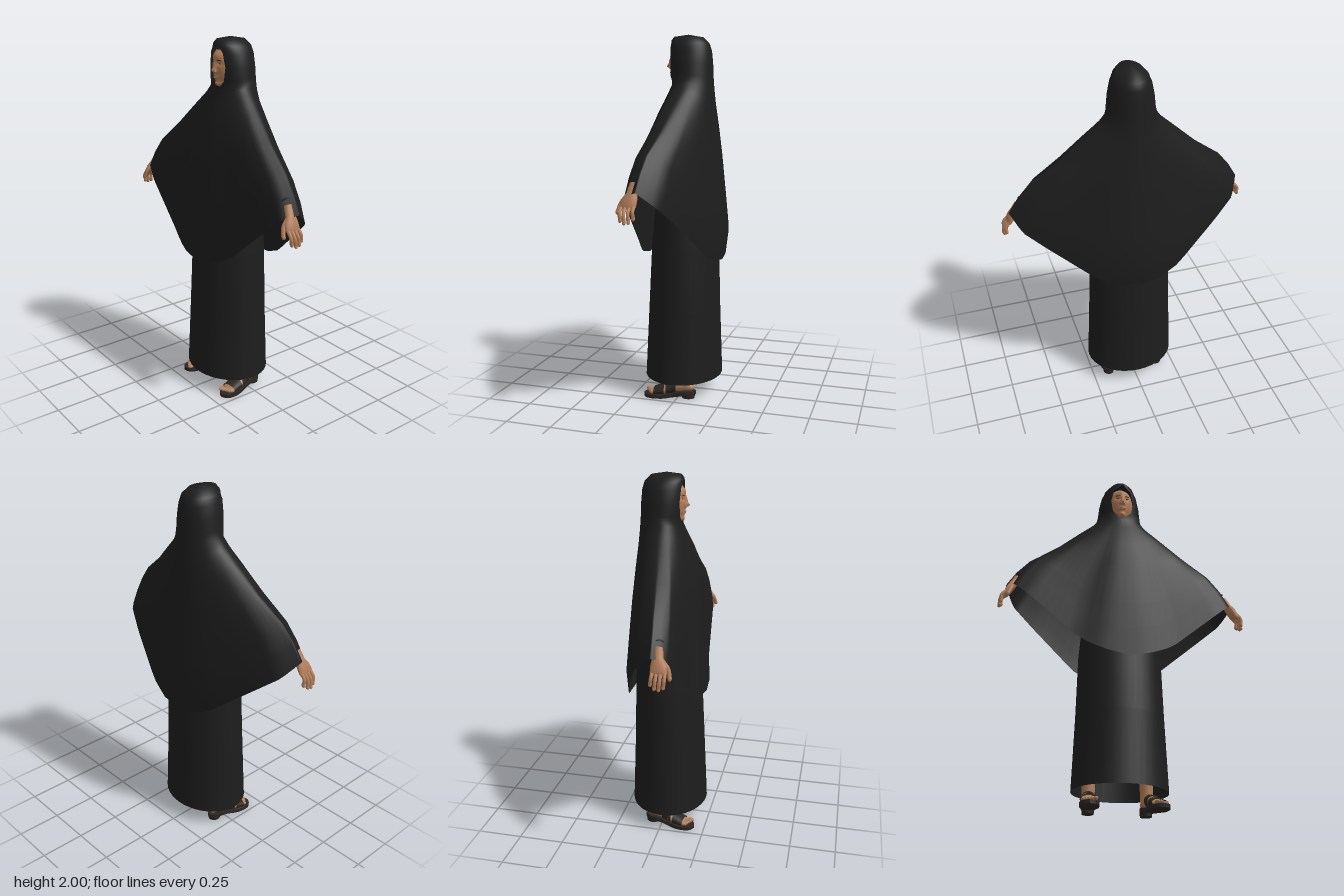
import * as THREE from 'three';
import { mergeVertices } from 'three/addons/utils/BufferGeometryUtils.js';

const mat = (name, color, side = THREE.FrontSide) => {
  const m = new THREE.MeshStandardMaterial({ color, side });
  m.name = name;
  return m;
};

// Piecewise linear lookup in a list of [input, output]
const lookup = (table, s) => {
  let i = 1;
  while (i < table.length - 1 && s > table[i][0]) i++;
  const [a, b] = [table[i - 1], table[i]];
  return a[1] + (b[1] - a[1]) * (s - a[0]) / (b[0] - a[0]);
};
// From centre (0) to tip (1): rise of the hem, and depth of the cloth, front and back
const frontRise = [[0, 0], [0.2, 0.06], [0.385, 0.2], [0.91, 0.91], [1, 1]];
const backRise = [[0, 0], [0.18, 0.03], [0.35, 0.14], [0.92, 0.82], [1, 1]];
const frontDepth = [[0, 1], [0.2, 0.97], [0.41, 0.76], [0.82, 0.6], [0.94, 0.45], [1, 0]];
const backDepth = [[0, 1], [0.15, 0.98], [0.38, 0.85], [0.74, 0.54], [0.92, 0.34], [1, 0]];

// Surface through rings listed from top to bottom. Each ring:
// [side x, side y, side z, front y, front z, back y, back z, half gap at the front]
function ringSurface(rings, segs = 40, draped = false) {
  const pos = [], idx = [];
  rings.forEach(([rx, ry, rz, fy, fz, by, bz, gap = 0], i) => {
    const start = gap ? Math.asin(gap / rx) : 0;
    const drape = draped ? THREE.MathUtils.smoothstep(rx, 0.14, 0.6) : 0;
    for (let j = 0; j <= segs; j++) {
      const a = start + (2 * Math.PI - 2 * start) * j / segs;
      const c = Math.cos(a), s = Math.min(1, Math.abs(Math.sin(a))), front = c > 0;
      const y0 = front ? fy : by, z1 = front ? fz : bz;
      const depth = THREE.MathUtils.lerp(Math.abs(c), lookup(front ? frontDepth : backDepth, s), drape);
      pos.push(rx * Math.sin(a), y0 + (ry - y0) * lookup(front ? frontRise : backRise, s),
        rz + (z1 - rz) * depth);
      if (i && j) {
        const d = i * (segs + 1) + j, b = d - segs - 1;
        idx.push(b - 1, d - 1, b, b, d - 1, d);
      }
    }
  });
  let g = new THREE.BufferGeometry();
  g.setAttribute('position', new THREE.Float32BufferAttribute(pos, 3));
  g.setIndex(idx);
  g = mergeVertices(g, 1e-5);
  g.computeVertexNormals();
  return g;
}
// Level oval ring: height, half width, centre z, half depth
const oval = (y, rx, cz, rz) => [rx, y, cz, y, cz + rz, y, cz - rz];

export function createModel() {
  const black = mat('blackCloth', 0x1d1d1d, THREE.DoubleSide);
  const skin = mat('skin', 0xb07d58);
  const leather = mat('sandalLeather', 0x2a2623, THREE.DoubleSide);
  const lipTone = mat('lips', 0x9a6650);
  const dark = mat('browsAndIris', 0x2a1a12);
  const white = mat('eyeWhite', 0xd8d0c8);

  const model = new THREE.Group();
  model.name = 'robedFigure';
  const add = (parent, name, geo, m, x = 0, y = 0, z = 0) => {
    const mesh = new THREE.Mesh(geo, m);
    mesh.name = name;
    mesh.position.set(x, y, z);
    parent.add(mesh);
    return mesh;
  };
  const ball = (rx, ry, rz) => new THREE.SphereGeometry(1, 16, 12).scale(rx, ry, rz);

  // Hood and cape in one cloth, open around the face
  add(model, 'hoodedCape', ringSurface([
    [0.001, 2.0, -0.01, 2.0, -0.009, 2.0, -0.011],
    [0.06, 1.987, -0.01, 1.99, 0.068, 1.985, -0.095],
    [0.09, 1.955, -0.02, 1.972, 0.083, 1.95, -0.128],
    [0.106, 1.915, -0.02, 1.93, 0.09, 1.91, -0.14, 0.05],
    [0.12, 1.85, -0.02, 1.85, 0.09, 1.84, -0.146, 0.066],
    [0.127, 1.785, -0.02, 1.775, 0.085, 1.76, -0.149, 0.056],
    [0.137, 1.74, -0.02, 1.728, 0.075, 1.7, -0.153],
    [0.165, 1.7, -0.015, 1.65, 0.105, 1.62, -0.16],
    [0.26, 1.612, 0.0, 1.52, 0.15, 1.48, -0.174],
    [0.38, 1.5, 0.02, 1.35, 0.182, 1.3, -0.193],
    [0.53, 1.385, 0.045, 1.1, 0.2, 1.08, -0.212],
    [0.6, 1.3, 0.055, 0.95, 0.21, 0.9, -0.226],
    [0.655, 1.21, 0.06, 0.79, 0.22, 0.77, -0.207],
  ], 72, true), black);

  // Long gown, hollow at the hem
  add(model, 'gown', ringSurface([
    oval(1.62, 0.06, -0.02, 0.05),
    oval(1.55, 0.15, -0.01, 0.1),
    oval(1.3, 0.19, 0, 0.15),
    oval(0.85, 0.23, 0.005, 0.185),
    oval(0.5, 0.24, 0.01, 0.198),
    oval(0.1, 0.256, 0.013, 0.215),
  ], 40), black);

  // Head, with the features raised from an oval
  const head = new THREE.Group();
  head.name = 'head';
  head.position.y = 1.85;
  model.add(head);
  const bumps = [ // x, y, spread x, spread y, height
    [0, 0.06, 0.05, 0.025, 0.012], [0, -0.018, 0.011, 0.012, 0.022],
    [0, 0.008, 0.008, 0.022, 0.012], [0, -0.055, 0.024, 0.016, 0.01],
    [0, -0.095, 0.03, 0.02, 0.03],
    [0.027, 0.017, 0.013, 0.009, -0.008], [-0.027, 0.017, 0.013, 0.009, -0.008],
  ];
  const faceZ = (x, y) => {
    let z = 0.09 * Math.sqrt(Math.max(0, 1 - (x / 0.078) ** 2 - (y / 0.118) ** 2));
    for (const [bx, by, sx, sy, h] of bumps)
      z += h * Math.exp(-(((x - bx) / sx) ** 2) - ((y - by) / sy) ** 2);
    return z;
  };
  const face = new THREE.SphereGeometry(1, 72, 56).scale(0.078, 0.118, 0.09);
  const p = face.attributes.position;
  for (let i = 0; i < p.count; i++)
    if (p.getZ(i) > 0.005) p.setZ(i, faceZ(p.getX(i), p.getY(i)));
  face.computeVertexNormals();
  add(head, 'face', face, skin);
  add(head, 'neck', new THREE.CylinderGeometry(0.045, 0.055, 0.2, 20), skin, 0, -0.15, -0.015);
  add(head, 'underscarf', new THREE.SphereGeometry(1, 32, 12, 0, Math.PI * 2, 0, 0.76)
    .scale(0.082, 0.122, 0.112), black);
  for (const s of [1, -1]) {
    const ex = s * 0.027, ez = faceZ(ex, 0.017);
    add(head, 'eye', ball(0.011, 0.0035, 0.003), white, ex, 0.017, ez);
    add(head, 'iris', ball(0.005, 0.0037, 0.003), dark, ex, 0.017, ez + 0.001);
    add(head, 'eyelid', ball(0.013, 0.0018, 0.004), dark, ex, 0.0205, ez + 0.0005);
    add(head, 'eyebrow', ball(0.016, 0.002, 0.003), dark, ex, 0.034, faceZ(ex, 0.034))
      .rotation.y = s * 0.35;
    add(head, 'nostrilWing', ball(0.007, 0.006, 0.008), skin, s * 0.009, -0.024, faceZ(0.009, -0.024) - 0.003);
  }
  add(head, 'upperLip', ball(0.02, 0.003, 0.004), lipTone, 0, -0.052, faceZ(0, -0.052) - 0.001);
  add(head, 'lowerLip', ball(0.017, 0.004, 0.004), lipTone, 0, -0.059, faceZ(0, -0.059) - 0.001);

  for (const s of [1, -1]) {
    const side = s > 0 ? 'left' : 'right';
    const path = pts => new THREE.CatmullRomCurve3(pts.map(q => new THREE.Vector3(...q)));

    // Sleeve under the cape
    add(model, side + 'Sleeve', new THREE.TubeGeometry(
      path([[s * 0.14, 1.51, -0.01], [s * 0.38, 1.37, 0.03], [s * 0.575, 1.245, 0.075]]),
      12, 0.045, 16), black);

    // Hand, hanging down with the thumb forward
    const hand = new THREE.Group();
    hand.name = side + 'Hand';
    hand.position.set(s * 0.612, 1.215, 0.088);
    hand.rotation.z = s * 0.5;
    model.add(hand);
    add(hand, 'palm', ringSurface([
      oval(0.04, 0.021, -0.005, 0.026), oval(-0.015, 0.021, 0.002, 0.029),
      oval(-0.05, 0.021, 0.01, 0.042), oval(-0.085, 0.016, 0.012, 0.043),
      oval(-0.1, 0.004, 0.012, 0.036),
    ], 18), skin);
    const digit = (name, pts, r) => {
      add(hand, name, new THREE.TubeGeometry(path(pts), 8, r, 8), skin);
      add(hand, name + 'Tip', ball(r, r * 1.4, r), skin, ...pts[pts.length - 1]);
    };
    [0.072, 0.084, 0.08, 0.062].forEach((len, i) => {
      const z = 0.044 - i * 0.021, spread = (1.5 - i) * 0.001;
      digit('finger', [[0, -0.08, z], [s * 0.009, -0.085 - len * 0.5, z + spread],
        [-s * 0.006, -0.08 - len, z + spread - 0.004]], 0.0095);
    });
    digit('thumb', [[0, -0.025, 0.025], [-s * 0.012, -0.06, 0.054], [-s * 0.018, -0.105, 0.066]], 0.011);

    // Leg, foot and sandal
    const foot = new THREE.Group();
    foot.name = side + 'Foot';
    foot.position.set(s * 0.162, 0, 0);
    foot.rotation.y = s * 0.14;
    model.add(foot);
    add(foot, 'leg', new THREE.CylinderGeometry(0.05, 0.033, 0.5, 16), skin, 0, 0.32, -0.045);
    const alongZ = rings => ringSurface(rings, 20).rotateX(-Math.PI / 2);
    add(foot, 'foot', alongZ([
      oval(0.092, 0.004, 0.06, 0.004), oval(0.08, 0.025, 0.063, 0.02),
      oval(0.04, 0.032, 0.072, 0.032), oval(-0.02, 0.034, 0.065, 0.033),
      oval(-0.08, 0.042, 0.042, 0.026), oval(-0.13, 0.043, 0.032, 0.016),
      oval(-0.155, 0.034, 0.028, 0.01), oval(-0.165, 0.004, 0.028, 0.004),
    ]), skin);
    for (let i = 0; i < 5; i++)
      add(foot, 'toe', ball(i ? 0.008 : 0.012, 0.01, 0.02), skin,
        s * (-0.03 + (i ? 0.005 : 0) + i * 0.0145), 0.032, 0.166 - i * 0.007);
    add(foot, 'frontStrap', alongZ([
      oval(-0.075, 0.046, 0.045, 0.032), oval(-0.135, 0.047, 0.033, 0.021)]), leather);
    add(foot, 'instepStrap', alongZ([
      oval(-0.01, 0.038, 0.067, 0.038), oval(-0.065, 0.044, 0.05, 0.034)]), leather);
    add(foot, 'crossStrap', new THREE.TubeGeometry(path([[s * 0.042, 0.05, 0.045],
      [0, 0.078, 0.075], [-s * 0.042, 0.045, 0.1]]), 10, 0.007, 6), leather);

    // Sole rising to the heel
    const outline = new THREE.Shape();
    outline.setFromPoints(new THREE.SplineCurve([[0, 0.195], [0.036, 0.175], [0.05, 0.12], [0.038, 0.03],
      [0.034, -0.06], [0, -0.1], [-0.034, -0.06], [-0.038, 0.03], [-0.05, 0.12], [-0.036, 0.175], [0, 0.195],
    ].map(q => new THREE.Vector2(q[0], -q[1]))).getPoints(50));
    const sole = new THREE.ExtrudeGeometry(outline, { depth: 0.02, bevelEnabled: false })
      .rotateX(-Math.PI / 2);
    const sp = sole.attributes.position;
    for (let i = 0; i < sp.count; i++)
      sp.setY(i, sp.getY(i) + 0.022 * THREE.MathUtils.smoothstep(-sp.getZ(i), -0.09, 0.04));
    sole.computeVertexNormals();
    add(foot, 'sole', sole, leather);
    add(foot, 'heel', new THREE.CylinderGeometry(0.034, 0.031, 0.03, 20).scale(1, 1, 1.15),
      leather, 0, 0.015, -0.057);
  }
  return model;
}
